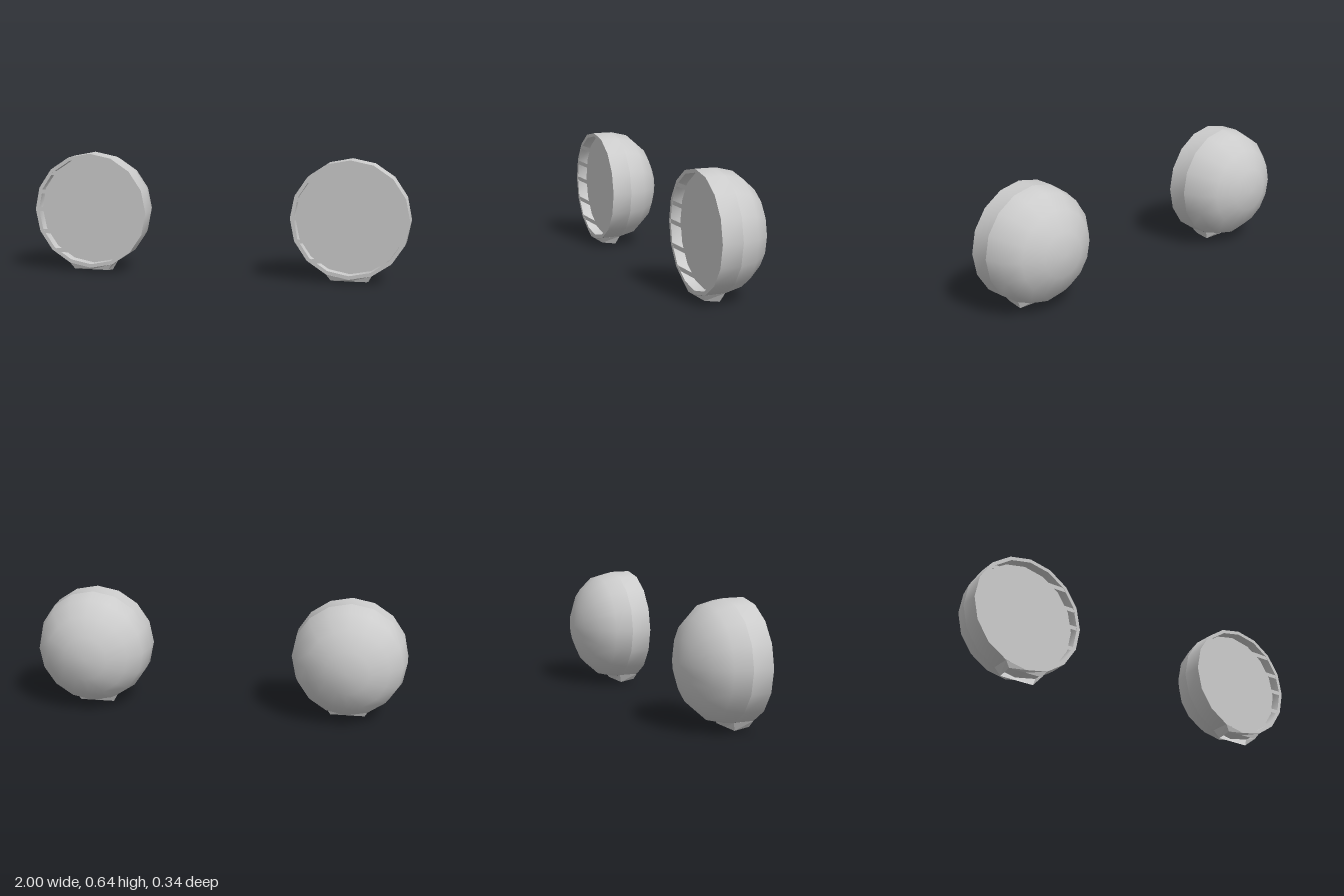
import * as THREE from 'three';
import { toCreasedNormals } from 'three/addons/utils/BufferGeometryUtils.js';

const solid = new THREE.MeshStandardMaterial({ color: 0xcccccc });
const thin = new THREE.MeshStandardMaterial({ color: 0xcccccc, side: THREE.DoubleSide });
const R = 0.307, INNER = 0.288, FRONT = 0.172, BAND = 0.065, LENS = 0.118, CENTER_Y = 0.33;

function part(name, geometry, material) {
  const mesh = new THREE.Mesh(geometry, material);
  mesh.name = name;
  return mesh;
}

// Sixteen-sided surface turned about z from [radius, z] points
function turned(points) {
  const profile = points.map(([r, z]) => new THREE.Vector2(r, z));
  const geometry = new THREE.LatheGeometry(profile, 16).rotateX(Math.PI / 2);
  return toCreasedNormals(geometry, 0.65);
}

// Flat bar whose slanted ends follow the rim; y is measured from the lamp centre
function slat(y0, y1) {
  const half = (y) => Math.sqrt(INNER * INNER - y * y);
  const shape = new THREE.Shape([
    new THREE.Vector2(-half(y0), y0), new THREE.Vector2(half(y0), y0),
    new THREE.Vector2(half(y1), y1), new THREE.Vector2(-half(y1), y1),
  ]);
  return new THREE.ShapeGeometry(shape).translate(0, 0, FRONT - 0.001);
}

// Tapered skirt, open below, whose top loop follows the round underside
function foot() {
  const top = [
    [-0.117, 0.046, FRONT], [0, 0.023, FRONT], [0.117, 0.046, FRONT],
    [0.117, 0.046, BAND], [0, 0.023, BAND], [-0.117, 0.046, BAND],
  ];
  const bottom = [
    [-0.093, 0.013, 0.162], [0, 0.013, 0.162], [0.093, 0.013, 0.162],
    [0.093, 0, 0.082], [0, 0, 0.082], [-0.093, 0, 0.082],
  ];
  const positions = [];
  for (let i = 0; i < 6; i++) {
    const j = (i + 1) % 6;
    positions.push(...bottom[i], ...bottom[j], ...top[j], ...bottom[i], ...top[j], ...top[i]);
  }
  const geometry = new THREE.BufferGeometry();
  geometry.setAttribute('position', new THREE.Float32BufferAttribute(positions, 3));
  geometry.computeVertexNormals();
  return geometry;
}

function lamp(name) {
  const group = new THREE.Group();
  group.name = name;

  // Domed back, then the straight band with its rim and recessed lens
  const head = new THREE.Group();
  head.name = 'lampHead';
  head.position.y = CENTER_Y;
  head.add(part('domedBack', turned([
    [0, -0.172], [0.118, -0.153], [0.218, -0.102], [0.285, -0.025], [R, BAND],
  ]), solid));
  head.add(part('rimBand', turned([[R, BAND], [R, FRONT], [INNER, FRONT], [INNER, LENS]]), solid));
  head.add(part('lens', turned([[INNER, LENS], [0, LENS]]), solid));

  // Grille of five bars across the opening
  for (const y of [0.112, 0.212, 0.331, 0.428, 0.528]) {
    head.add(part('grilleBar', slat(y - CENTER_Y - 0.011, y - CENTER_Y + 0.011), thin));
  }
  group.add(head);

  group.add(part('mountingFoot', foot(), thin));
  return group;
}

export function createModel() {
  const model = new THREE.Group();
  model.name = 'headlamps';
  for (const side of [-1, 1]) {
    const headlamp = lamp(side > 0 ? 'leftHeadlamp' : 'rightHeadlamp');
    headlamp.position.x = side * (1 - R);
    model.add(headlamp);
  }
  return model;
}
